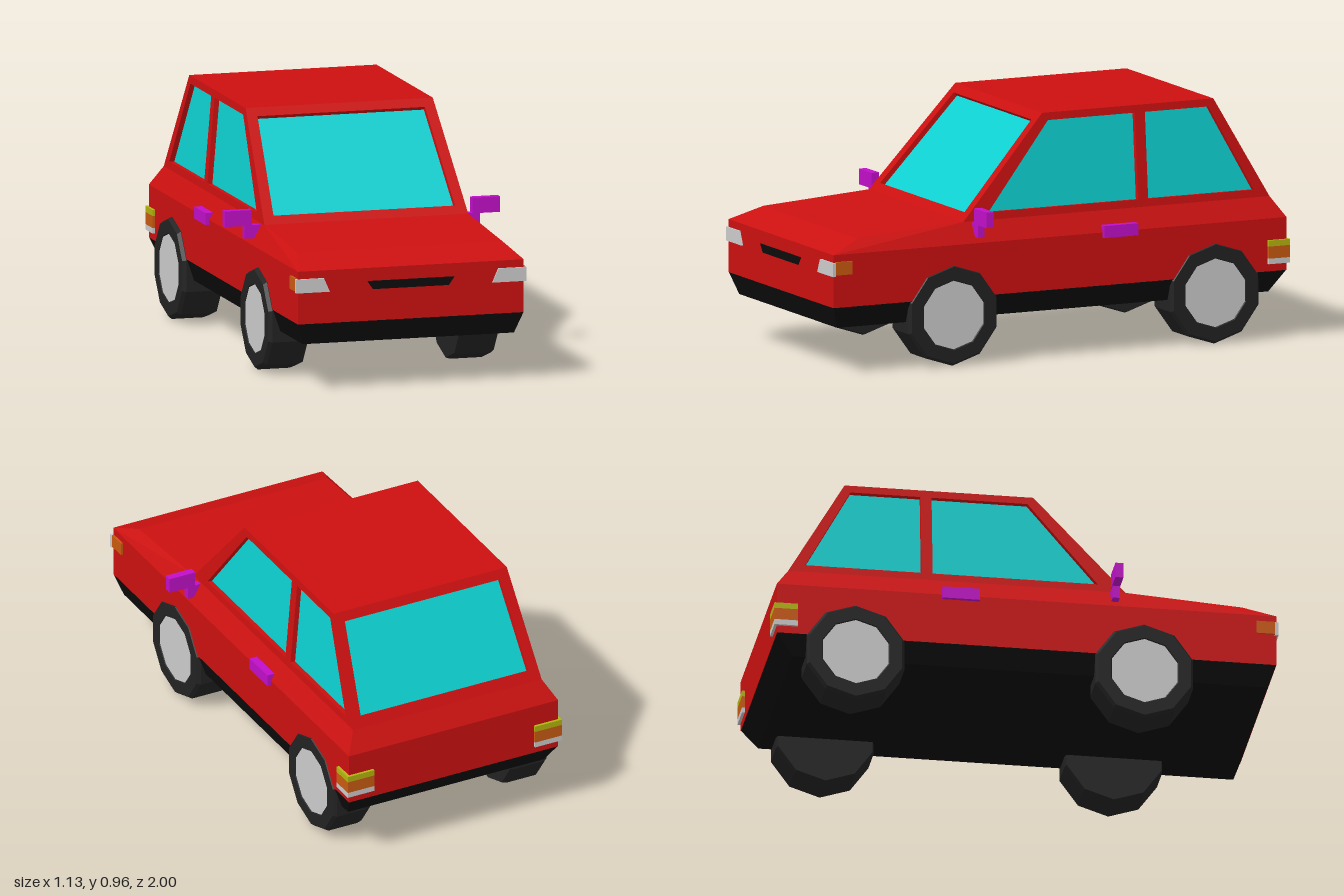
import * as THREE from 'three';
import { ConvexGeometry } from 'three/addons/geometries/ConvexGeometry.js';

const mat = (color) => new THREE.MeshStandardMaterial({ color, flatShading: true });
const V = (x, y, z) => new THREE.Vector3(x, y, z);

export function createModel() {
  const model = new THREE.Group();
  model.name = 'car';
  const shell = new THREE.Group();
  shell.name = 'bodyShell';
  shell.position.x = 0.006;
  model.add(shell);

  const red = mat(0xcc1010), cyan = mat(0x0ed0d0), black = mat(0x0c0c0c), tyreMat = mat(0x222222);
  const grey = mat(0xcccccc), orange = mat(0xc85a10), yellow = mat(0xb4b410), purple = mat(0xc010c8);

  const add = (name, geo, material, parent = shell) => {
    const m = new THREE.Mesh(geo, material);
    m.name = name;
    parent.add(m);
    return m;
  };
  // Box from its minimum and maximum corners
  const box = (name, a, b, material, parent) => {
    const g = new THREE.BoxGeometry(...a.map((v, i) => Math.abs(b[i] - v)));
    g.translate(...a.map((v, i) => (v + b[i]) / 2));
    return add(name, g, material, parent);
  };
  // Convex solid from half-section points [halfWidth, y, z], mirrored in x
  const hull = (name, pts, material) =>
    add(name, new ConvexGeometry(pts.flatMap(([x, y, z]) => [V(x, y, z), V(-x, y, z)])), material);

  // Lower body and dark underside
  hull('lowerBody', [
    [0.462, 0.27, 0.99], [0.462, 0.48, 0.99], [0.417, 0.53, 0.86], [0.417, 0.56, 0.4],
    [0.417, 0.56, -0.935], [0.462, 0.48, -0.987], [0.462, 0.27, -0.987],
  ], red);
  hull('underside', [
    [0.462, 0.271, 0.989], [0.432, 0.185, 0.958], [0.432, 0.185, -0.922], [0.462, 0.271, -0.986],
  ], black);

  // Flat panel with window holes; corners run anticlockwise seen from outside
  const DEPTH = 0.022;
  const panel = (name, corners, holes = []) => {
    const o = corners[0];
    const u = corners[1].clone().sub(o).normalize();
    const n = u.clone().cross(corners[2].clone().sub(o)).normalize();
    const v = n.clone().cross(u);
    const flat = (pts) => pts.map((p) => {
      const d = p.clone().sub(o);
      return new THREE.Vector2(d.dot(u), d.dot(v));
    });
    const shape = new THREE.Shape(flat(corners));
    holes.forEach((h) => shape.holes.push(new THREE.Path(flat(h))));
    const frame = new THREE.Matrix4().makeBasis(u, v, n)
      .setPosition(o.clone().addScaledVector(n, -DEPTH));
    const g = new THREE.ExtrudeGeometry(shape, { depth: DEPTH, bevelEnabled: false });
    add(name, g.applyMatrix4(frame), red);
    // Recessed glass
    holes.forEach((h) => {
      const glass = new THREE.ShapeGeometry(new THREE.Shape(flat(h)));
      glass.translate(0, 0, 0.002);
      add(name + 'Glass', glass.applyMatrix4(frame), cyan);
    });
  };

  // Cabin: sloping planes between the waist and the roof
  const y0 = 0.56, y1 = 0.96;
  const lerp = (a, b) => (y) => a + (b - a) * (y - y0) / (y1 - y0);
  const sideX = lerp(0.417, 0.383), frontZ = lerp(0.4, 0.04), rearZ = lerp(-0.935, -0.707);
  // Trapezoid on the front (s = 1) or rear (s = -1) plane
  const endQuad = (s, zAt, ya, yb, inset) =>
    [[-1, ya], [1, ya], [1, yb], [-1, yb]].map(([i, y]) => V(s * i * (sideX(y) - inset), y, zAt(y)));
  panel('windscreenFrame', endQuad(1, frontZ, y0, y1, 0), [endQuad(1, frontZ, 0.59, 0.93, 0.043)]);
  panel('rearWindowFrame', endQuad(-1, rearZ, y0, y1, 0), [endQuad(-1, rearZ, 0.6, 0.925, 0.043)]);

  const sideQuads = [
    [[0.4, y0], [-0.935, y0], [-0.707, y1], [0.04, y1]],
    [[0.29, 0.59], [-0.363, 0.59], [-0.363, 0.93], [0.016, 0.93]],
    [[-0.407, 0.59], [-0.868, 0.59], [-0.684, 0.93], [-0.407, 0.93]],
  ];
  for (const s of [1, -1]) {
    const [outer, ...holes] = sideQuads.map((q) => {
      const pts = q.map(([z, y]) => V(s * sideX(y), y, z));
      return s > 0 ? pts : [pts[1], pts[0], pts[3], pts[2]];
    });
    panel(s > 0 ? 'leftSideFrame' : 'rightSideFrame', outer, holes);
  }
  panel('roof', [V(-0.383, y1, 0.04), V(0.383, y1, 0.04), V(0.383, y1, -0.707), V(-0.383, y1, -0.707)]);

  // Thin plate on the nose from an x, y outline
  const plate = (name, pts, zMin, zMax, material) => {
    const shape = new THREE.Shape(pts.map((p) => new THREE.Vector2(...p)));
    const g = new THREE.ExtrudeGeometry(shape, { depth: zMax - zMin, bevelEnabled: false });
    add(name, g.translate(0, 0, zMin), material);
  };
  plate('grille', [[-0.155, 0.395], [0.155, 0.395], [0.178, 0.428], [-0.178, 0.428]], 0.98, 0.993, black);

  for (const s of [1, -1]) {
    const side = s > 0 ? 'left' : 'right';
    // Lights
    plate(side + 'Headlight',
      [[s * 0.333, 0.395], [s * 0.472, 0.395], [s * 0.472, 0.45], [s * 0.357, 0.45]], 0.983, 0.997, grey);
    box(side + 'Indicator', [s * 0.43, 0.4, 0.91], [s * 0.471, 0.452, 0.984], orange);
    [['Reverse', 0.3, 0.322, grey], ['Brake', 0.322, 0.37, orange], ['Tail', 0.37, 0.394, yellow]]
      .forEach(([n, a, b, m]) => box(side + n + 'Light', [s * 0.355, a, -0.998], [s * 0.473, b, -0.905], m));
    // Door handle
    box(side + 'DoorHandle', [s * 0.44, 0.46, -0.333], [s * 0.478, 0.508, -0.185], purple);
    // Mirror
    box(side + 'MirrorArm', [s * 0.415, 0.503, 0.338], [s * 0.482, 0.556, 0.366], purple, model);
    box(side + 'MirrorHead', [s * 0.451, 0.554, 0.336], [s * 0.563, 0.616, 0.368], purple, model);
    // Wheels: tyre with a shallow dished hub
    for (const [end, z] of [['Front', 0.466], ['Rear', -0.676]]) {
      const profile = [[0, 0], [0.197, 0], [0.203, 0.02], [0.203, 0.148], [0.192, 0.162], [0.14, 0.162], [0.135, 0.158]]
        .map((p) => new THREE.Vector2(...p));
      const wheel = new THREE.Group();
      wheel.name = side + end + 'Wheel';
      wheel.position.set(s * 0.31, 0.203, z);
      wheel.rotation.z = -s * Math.PI / 2;
      model.add(wheel);
      const turn = Math.PI / 2;
      add('tyre', new THREE.LatheGeometry(profile, 10, turn), tyreMat, wheel);
      add('hub', new THREE.CylinderGeometry(0.137, 0.137, 0.05, 10, 1, false, turn), grey, wheel).position.y = 0.134;
    }
  }
  return model;
}
